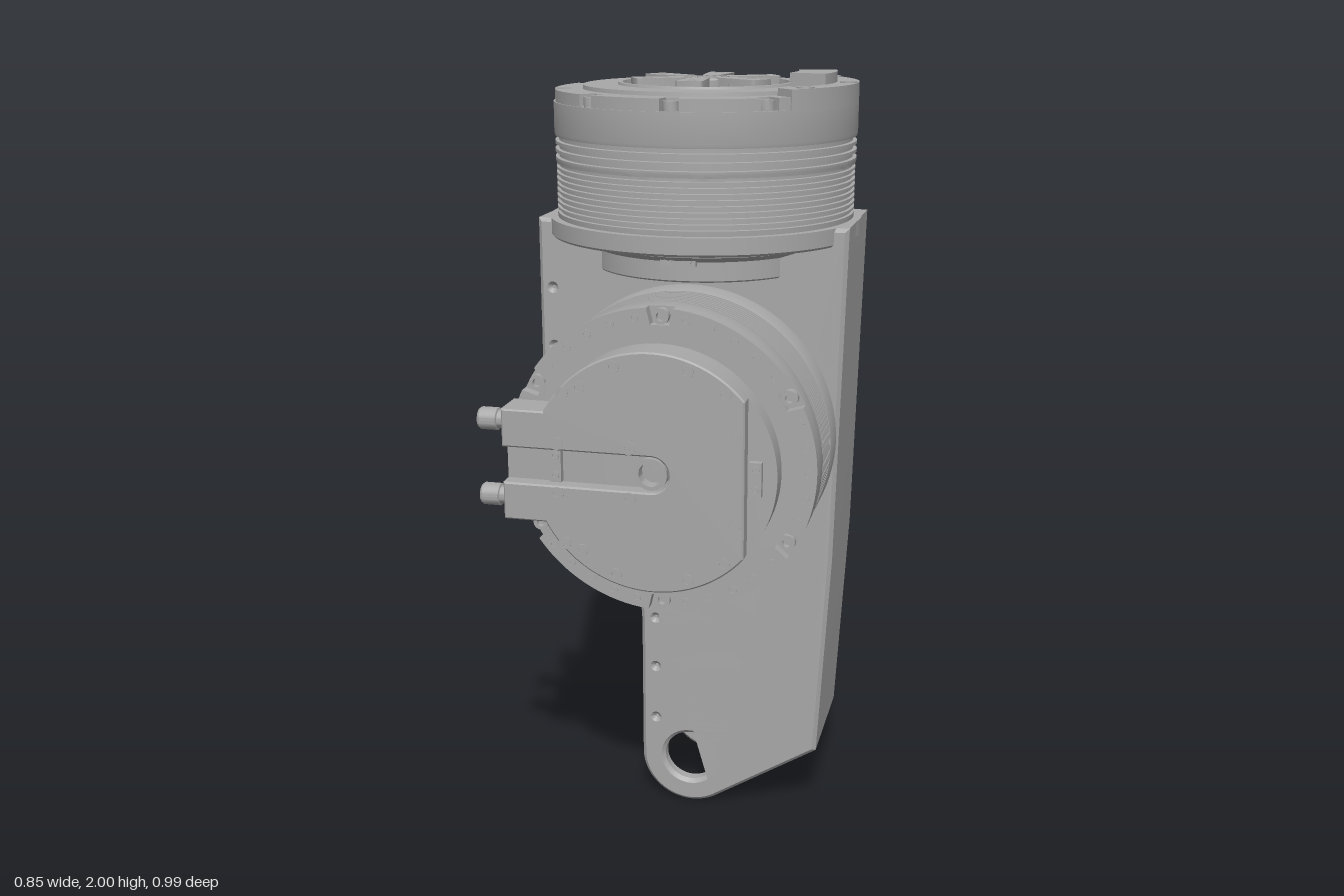
import * as THREE from 'three';
import { toCreasedNormals } from 'three/addons/utils/BufferGeometryUtils.js';

const grey = new THREE.MeshStandardMaterial({ color: 0xa8a8a8 });
grey.name = 'machined grey';
const TAU = Math.PI * 2;

function add(parent, name, geo, x = 0, y = 0, z = 0) {
  const m = new THREE.Mesh(geo, grey);
  m.name = name;
  m.position.set(x, y, z);
  parent.add(m);
  return m;
}

// Turned part around the z axis; points are [radius, z] with z rising
function turned(pts, seg = 96) {
  const g = new THREE.LatheGeometry(pts.map(([r, z]) => new THREE.Vector2(r, z)), seg);
  g.rotateX(Math.PI / 2);
  return toCreasedNormals(g, 0.5);
}

// Flat part from z0 to z1, chamfered inside its outline
function plate(shape, z0, z1, bevel = 0) {
  const g = new THREE.ExtrudeGeometry(shape, {
    depth: z1 - z0 - 2 * bevel, curveSegments: 32, bevelEnabled: bevel > 0,
    bevelSize: bevel, bevelThickness: bevel, bevelOffset: -bevel, bevelSegments: 1,
  });
  g.translate(0, 0, z0 + bevel);
  return toCreasedNormals(g, 0.5);
}

function circleHole(shape, x, y, r) {
  shape.holes.push(new THREE.Path().absarc(x, y, r, 0, TAU, true));
}

// Socket screw, unit size, scaled on use
const screwGeo = turned([[1, 0], [1, 1], [0.55, 1], [0.55, 0.2], [0, 0.2]], 16);
function screw(parent, x, y, z, r, h = 0.006) {
  add(parent, 'screw', screwGeo, x, y, z).scale.set(r, r, h);
}

// Disc outline with notches cut in its edge
function notchedRim(r, inner, count, half) {
  const s = new THREE.Shape();
  for (let i = 0; i < count; i++) {
    const a = Math.PI / 2 + (i * TAU) / count, step = TAU / count;
    const c = Math.cos, n = Math.sin;
    if (i === 0) s.moveTo(r * c(a - half), r * n(a - half));
    else s.lineTo(r * c(a - half), r * n(a - half));
    s.lineTo(inner * c(a - half * 0.8), inner * n(a - half * 0.8));
    s.lineTo(inner * c(a + half * 0.8), inner * n(a + half * 0.8));
    s.absarc(0, 0, r, a + half, a + step - half, false);
  }
  return s;
}

function sector(r0, r1, half) {
  const s = new THREE.Shape();
  s.absarc(0, 0, r1, -half, half, false);
  s.absarc(0, 0, r0, half, -half, true);
  return s;
}

// Cooling fins as profile points
function fins(r, depth, z0, z1, n) {
  const pts = [], p = (z1 - z0) / n;
  for (let i = 0; i < n; i++) {
    const z = z0 + i * p;
    pts.push([r, z], [r - depth, z + 0.001], [r - depth, z + p * 0.55], [r, z + p * 0.55 + 0.001]);
  }
  return pts;
}

// Side outline of the arm; the core stops above the fork
function armOutline(fork) {
  const s = new THREE.Shape();
  s.moveTo(-0.386, 1.635);
  s.lineTo(-0.386, 1.1);
  s.bezierCurveTo(-0.386, 0.9, -0.3, 0.83, -0.22, 0.75);
  s.bezierCurveTo(-0.15, 0.68, -0.12, 0.64, -0.12, 0.52);
  if (fork) {
    s.lineTo(-0.12, 0.137);
    s.absarc(0.017, 0.137, 0.137, Math.PI, 5.24, false);
    circleHole(s, 0.017, 0.137, 0.072);
    for (const x of [-0.08, 0.338]) for (const y of [0.25, 0.405, 0.55]) circleHole(s, x, y, 0.005);
    for (const x of [-0.35, 0.38]) for (const y of [1.3, 1.455]) circleHole(s, x, y, 0.005);
  }
  s.lineTo(0.37, 0.198);
  s.lineTo(0.4, 0.76);
  s.lineTo(0.42, 1.635);
  return s;
}

function buildArm() {
  const g = new THREE.Group();
  g.name = 'arm';
  add(g, 'frontPlate', plate(armOutline(true), 0.045, 0.09, 0.01));
  add(g, 'backPlate', plate(armOutline(true), -0.262, -0.212, 0.01));
  add(g, 'armCore', plate(armOutline(false), -0.25, 0.078));
  // Screws along the edges of the back plate
  const spots = [[0.385, 1.56], [0.38, 1.24], [0.365, 0.9], [0.35, 0.56],
    [-0.35, 1.56], [-0.35, 1.24], [-0.2, 0.8]];
  for (const [x, y] of spots) screw(g, x, y, -0.26, 0.018, -0.006);
  return g;
}

// Cover outline with a cable block on the left
function coverOutline(slotted) {
  const s = new THREE.Shape(), a = Math.PI - 0.485, b = slotted ? 0.707 : 0;
  s.moveTo(-0.372, 0.045);
  s.lineTo(-0.372, 0.14);
  s.lineTo(-0.267, 0.14);
  s.absarc(0, 0, 0.3, a, b, true);
  s.absarc(0, 0, 0.3, -b, -a, true);
  s.lineTo(-0.372, -0.14);
  s.lineTo(-0.372, -0.045);
  if (slotted) {
    s.lineTo(0, -0.045);
    s.absarc(0, 0, 0.045, -Math.PI / 2, Math.PI / 2, false);
  }
  return s;
}

function buildFrontDrive() {
  const g = new THREE.Group();
  g.name = 'frontDrive';
  g.position.set(0.017, 1.095, 0);
  add(g, 'finnedHousing', turned([[0, 0.08], [0.385, 0.08], [0.385, 0.15], [0.38, 0.165],
    ...fins(0.383, 0.037, 0.17, 0.312, 9), [0.386, 0.316], [0.386, 0.366], [0, 0.366]]));
  add(g, 'notchedFlange', plate(notchedRim(0.386, 0.345, 6, 0.085), 0.36, 0.395));
  add(g, 'coverBase', plate(coverOutline(false), 0.39, 0.45));
  add(g, 'coverTop', plate(coverOutline(true), 0.44, 0.49, 0.004));
  add(g, 'centreBush', turned([[0.04, 0.45], [0.04, 0.485], [0.03, 0.485], [0.03, 0.452], [0, 0.452]], 32));
  for (const x of [-0.245, 0.25]) {
    add(g, 'connector', new THREE.BoxGeometry(0.03, 0.085, 0.025), x, 0, 0.455);
    for (const y of [-0.025, 0.025]) screw(g, x, y, 0.467, 0.01, 0.004);
  }
  for (const [x, y] of [[-0.09, 0.26], [0.09, 0.26], [-0.217, 0.19], [0.205, 0.11],
    [-0.233, 0.063], [-0.053, 0.063], [-0.175, 0.205], [0.18, 0.21]])
    for (const side of [-1, 1]) screw(g, x, y * side, x > 0.2 ? 0.488 : 0.489, 0.016, 0.003);
  for (let i = 0; i < 36; i++) {
    const a = Math.PI / 2 + (i * TAU) / 36, big = i % 6 === 0;
    screw(g, 0.363 * Math.cos(a), 0.363 * Math.sin(a), big ? 0.366 : 0.394, big ? 0.02 : 0.011, big ? 0.02 : 0.003);
  }
  // Hose fittings on the left edge
  for (const [y, z] of [[0.1, 0.44], [-0.095, 0.44], [0.025, 0.167], [-0.075, 0.167]]) {
    const f = add(g, 'hoseFitting', turned([[0, 0], [0.018, 0], [0.018, 0.05], [0.023, 0.05],
      [0.023, 0.066], [0.028, 0.068], [0.028, 0.11], [0.024, 0.116], [0, 0.116]], 24), -0.328, y, z);
    f.rotation.y = -Math.PI / 2;
  }
  return g;
}

function buildTopDrive() {
  // Local z is the vertical axis
  const g = new THREE.Group();
  g.name = 'topDrive';
  g.position.set(0.017, 0, -0.087);
  g.rotation.x = -Math.PI / 2;
  add(g, 'housing', turned([[0, 1.588], [0.4, 1.588], [0.406, 1.594], [0.406, 1.635], [0.385, 1.635],
    ...fins(0.386, 0.008, 1.648, 1.778, 9), [0.388, 1.78], ...fins(0.388, 0.01, 1.788, 1.85, 3),
    [0.39, 1.85], [0.39, 1.926], [0.1, 1.926]]));
  add(g, 'notchedRim', plate(notchedRim(0.386, 0.345, 10, 0.06), 1.92, 1.956));
  add(g, 'outputDisc', turned([[0.316, 1.95], [0.314, 1.966], [0.226, 1.966], [0.224, 1.972],
    [0.213, 1.972], [0.211, 1.96], [0.02, 1.96]]));
  add(g, 'hub', turned([[0.068, 1.95], [0.068, 1.978], [0.064, 1.982], [0.026, 1.982], [0.026, 1.9], [0, 1.9]], 48));
  // Six raised spokes with screws, and hub screws
  for (let i = 0; i < 6; i++) {
    const a = Math.PI / 2 + (i * TAU) / 6;
    const s = new THREE.Shape();
    s.moveTo(0.055, -0.022);
    s.lineTo(0.182, -0.034);
    s.quadraticCurveTo(0.19, -0.034, 0.191, -0.026);
    s.lineTo(0.191, 0.026);
    s.quadraticCurveTo(0.19, 0.034, 0.182, 0.034);
    s.lineTo(0.055, 0.022);
    circleHole(s, 0.155, 0, 0.013);
    add(g, 'spoke', plate(s, 1.955, 1.984)).rotation.z = a;
    screw(g, 0.052 * Math.cos(a), 0.052 * Math.sin(a), 1.98, 0.012, 0.004);
    if (i % 2) {
      const b = a + Math.PI / 6 + 0.45;
      add(g, 'dowel', turned([[0.02, 1.955], [0.02, 1.972], [0, 1.972]], 20), 0.107 * Math.cos(b), 0.107 * Math.sin(b));
    }
  }
  // Rim screws, leaving room for the clamp
  for (let i = 0; i < 10; i++) {
    const a = Math.PI / 2 + (i * TAU) / 10;
    if (Math.cos(a) < 0.8) screw(g, 0.366 * Math.cos(a), 0.366 * Math.sin(a), 1.926, 0.019, 0.024);
  }
  // Clamp on the right with its tongue and countersunk screws
  add(g, 'clamp', plate(sector(0.33, 0.39, 0.8), 1.92, 1.974));
  add(g, 'clampTongue', plate(sector(0.237, 0.334, 0.28), 1.955, 2.0));
  for (const a of [-0.64, 0, 0.64]) screw(g, 0.366 * Math.cos(a), 0.366 * Math.sin(a), 1.972, 0.022, 0.005);
  // Stepped cover under the housing, cut flat on two sides
  const cover = new THREE.Shape(), c = Math.acos(0.26 / 0.292);
  cover.absarc(0, 0, 0.292, c, Math.PI - c, false);
  cover.absarc(0, 0, 0.292, Math.PI + c, TAU - c, false);
  add(g, 'underCover', plate(cover, 1.506, 1.59, 0.004));
  add(g, 'underStep', turned([[0, 1.548], [0.27, 1.548], [0.335, 1.575], [0.335, 1.59], [0, 1.59]]));
  add(g, 'underConnector', new THREE.BoxGeometry(0.09, 0.03, 0.03), 0, -0.287, 1.563);
  for (const x of [-0.025, 0.025]) {
    const s = add(g, 'screw', screwGeo, x, -0.3, 1.563);
    s.rotation.x = Math.PI / 2;
    s.scale.set(0.01, 0.01, 0.006);
  }
  return g;
}

export function createModel() {
  const model = new THREE.Group();
  model.name = 'robotArmLink';
  model.add(buildArm(), buildFrontDrive(), buildTopDrive());
  return model;
}
